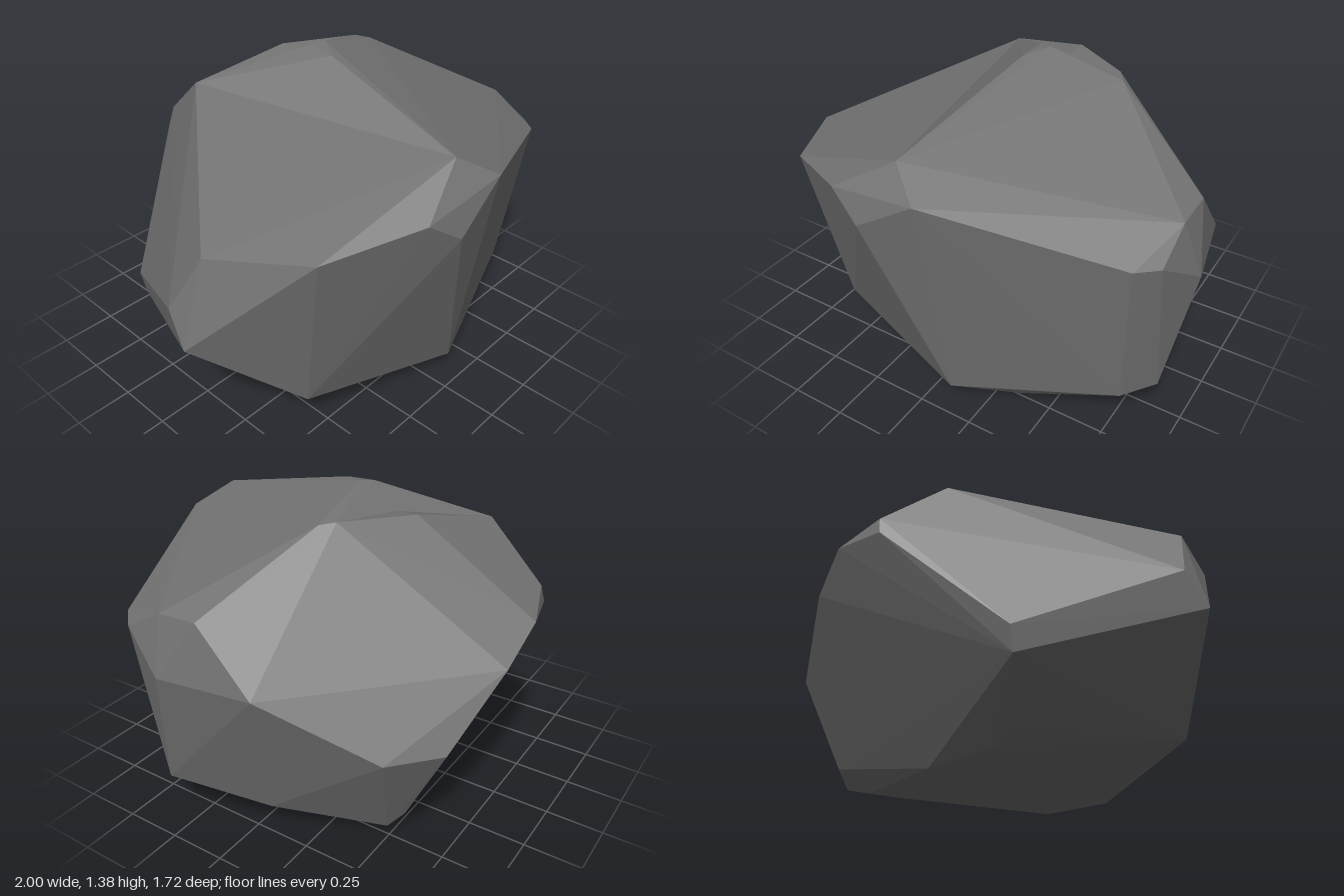
import * as THREE from 'three';
import { ConvexGeometry } from 'three/addons/geometries/ConvexGeometry.js';

// Corners shared by the boulder body and its raised crown
const shoulders = [
  [-0.28, 1.18, -0.515], [-0.05, 1.185, 0.73], [0.10, 1.09, 0.84], [0.84, 0.91, 0.545],
  [0.92, 1.01, 0.10], [0.45, 1.29, -0.13], [0.41, 1.30, -0.185],
];

// Corners around the waist, from the front chip round both sides to the back
const waist = [
  [-0.31, 1.035, 0.815], [-0.16, 0.93, 0.86], [-0.41, 1.00, 0.75], [-0.68, 0.955, 0.615],
  [-0.89, 0.91, 0.23], [-1.00, 0.53, 0.22], [-0.98, 0.67, 0.12], [-0.70, 0.37, -0.50],
  [-0.69, 0.27, -0.48], [-0.24, 0.87, -0.80], [-0.215, 0.95, -0.79], [0.00, 0.89, -0.86],
  [0.13, 1.285, -0.38], [0.20, 0.76, -0.84], [0.49, 0.485, -0.74], [0.68, 0.485, -0.57],
  [0.915, 0.745, -0.14], [1.00, 0.765, 0.25], [0.92, 0.90, 0.46], [0.92, 1.00, 0.28],
];

// Corners around the underside
const base = [
  [-0.60, 0.17, 0.48], [-0.28, 0.06, 0.45], [0.11, 0.08, 0.68], [0.38, 0.06, 0.54],
  [0.80, 0.20, 0.455], [0.91, 0.22, 0.33], [0.74, 0.12, -0.07], [0.50, 0.04, -0.49],
  [0.47, 0.115, -0.555], [0.36, 0.00, -0.46], [-0.07, 0.012, -0.43], [-0.37, 0.035, -0.34],
  [-0.47, 0.09, -0.32],
];

// Peak of the crown
const peak = [[0.12, 1.375, -0.105], [0.06, 1.365, -0.135], [0.05, 1.355, 0.00]];

export function createModel() {
  const stone = new THREE.MeshStandardMaterial({ color: 0x727272, flatShading: true });
  stone.name = 'grey stone';

  const group = new THREE.Group();
  group.name = 'boulder';

  // Each part is the faceted hull of its corners; the crown sits in the body
  const addHull = (name, corners) => {
    const points = corners.map((c) => new THREE.Vector3(...c));
    const mesh = new THREE.Mesh(new ConvexGeometry(points), stone);
    mesh.name = name;
    group.add(mesh);
  };
  addHull('boulderBody', [...shoulders, ...waist, ...base]);
  addHull('boulderCrown', [...shoulders, ...peak]);
  return group;
}
